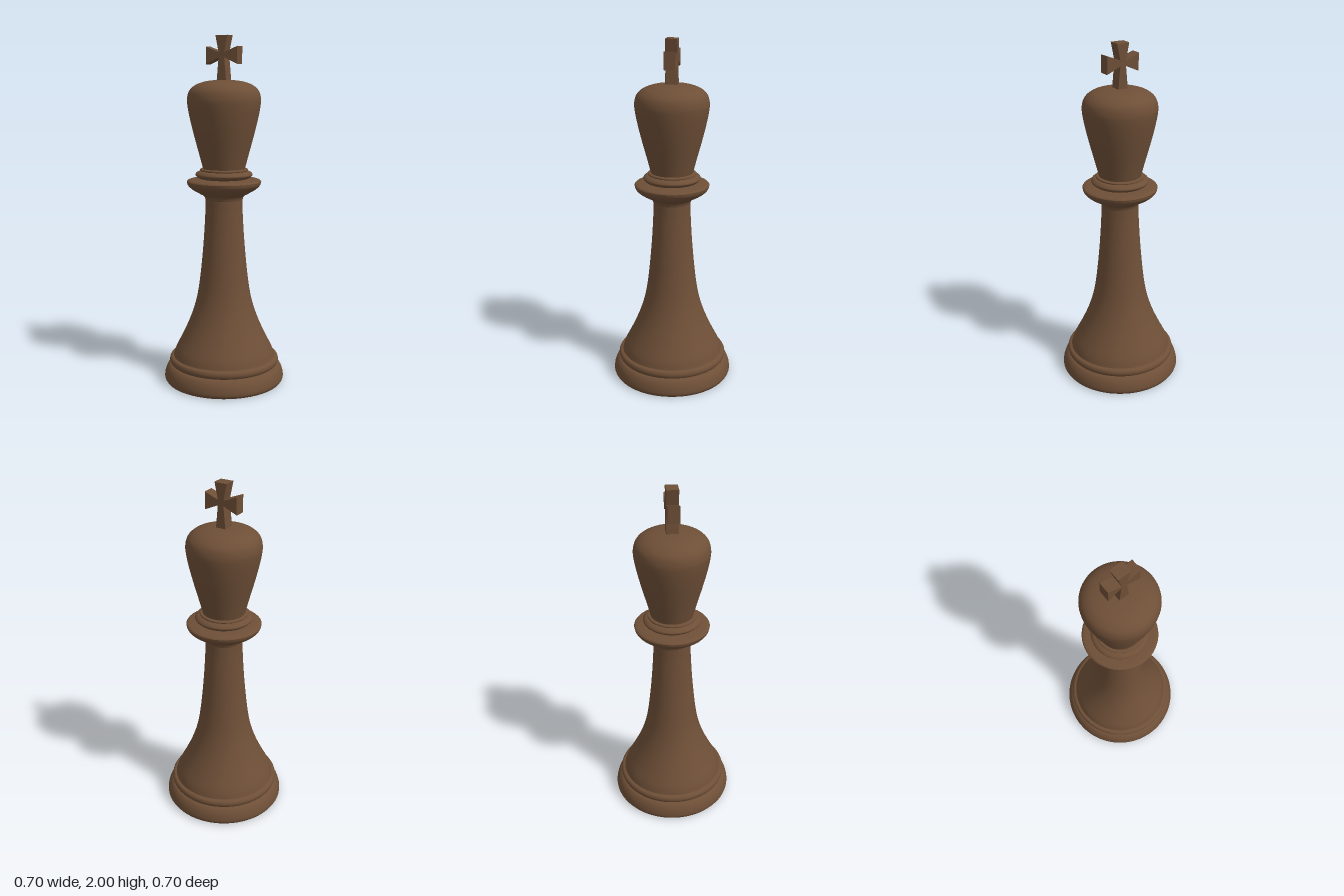
import * as THREE from 'three';

const SEGMENTS = 72;

export function createModel() {
  const model = new THREE.Group();
  model.name = 'chessKing';
  const wood = new THREE.MeshStandardMaterial({ color: 0x6e4f37 });

  // Turned part: a smooth curve through [radius, height] points, spun about y
  function turned(name, profile, samples = 24) {
    const curve = new THREE.CatmullRomCurve3(
      profile.map(([r, y]) => new THREE.Vector3(r, y, 0)), false, 'centripetal');
    const points = curve.getPoints(samples).map(p => new THREE.Vector2(Math.max(p.x, 0), p.y));
    const mesh = new THREE.Mesh(new THREE.LatheGeometry(points, SEGMENTS), wood);
    mesh.name = name;
    model.add(mesh);
  }

  // Base: flat underside, rounded foot and bead
  const underside = new THREE.Mesh(new THREE.CircleGeometry(0.342, SEGMENTS), wood);
  underside.name = 'underside';
  underside.rotation.x = Math.PI / 2;
  model.add(underside);
  turned('foot', [[0.342, 0], [0.351, 0.015], [0.35, 0.04], [0.338, 0.075], [0.318, 0.097], [0.29, 0.1]]);
  turned('baseBead', [[0.295, 0.099], [0.313, 0.103], [0.321, 0.122], [0.315, 0.14], [0.298, 0.147], [0.28, 0.147]]);

  // Stem sweeping up into the flared collar
  turned('stem', [[0.298, 0.145], [0.285, 0.185], [0.245, 0.265], [0.202, 0.36], [0.168, 0.46],
    [0.147, 0.56], [0.122, 0.785], [0.108, 1.0], [0.107, 1.075]], 48);
  turned('collar', [[0.107, 1.075], [0.115, 1.095], [0.145, 1.113], [0.185, 1.137], [0.208, 1.16], [0.214, 1.18]]);
  turned('collarTop', [[0.214, 1.18], [0.208, 1.187], [0.17, 1.194], [0.1, 1.197]], 12);

  // Small rings under the head
  turned('neckRing', [[0.125, 1.194], [0.15, 1.203], [0.164, 1.22], [0.15, 1.236], [0.125, 1.242]]);
  turned('neckBead', [[0.125, 1.238], [0.137, 1.243], [0.136, 1.251], [0.115, 1.254]], 12);

  // Head widening to a shallow dome
  turned('head', [[0.118, 1.245], [0.143, 1.34], [0.17, 1.44], [0.192, 1.53], [0.207, 1.61], [0.209, 1.65],
    [0.197, 1.693], [0.165, 1.724], [0.11, 1.745], [0.05, 1.753], [0, 1.754]], 48);

  // Cross with flared arms
  const outline = [[0.03, 1.735], [0.017, 1.878], [0.096, 1.843], [0.096, 1.937], [0.017, 1.907], [0.036, 1.998]];
  const corners = [...outline, ...outline.map(([x, y]) => [-x, y]).reverse()];
  const shape = new THREE.Shape(corners.map(([x, y]) => new THREE.Vector2(x, y)));
  const crossGeometry = new THREE.ExtrudeGeometry(shape, {
    depth: 0.06, bevelEnabled: true, bevelThickness: 0.004, bevelSize: 0.002, bevelSegments: 2,
  });
  crossGeometry.translate(0, 0, -0.03);
  const cross = new THREE.Mesh(crossGeometry, wood);
  cross.name = 'cross';
  model.add(cross);

  return model;
}
